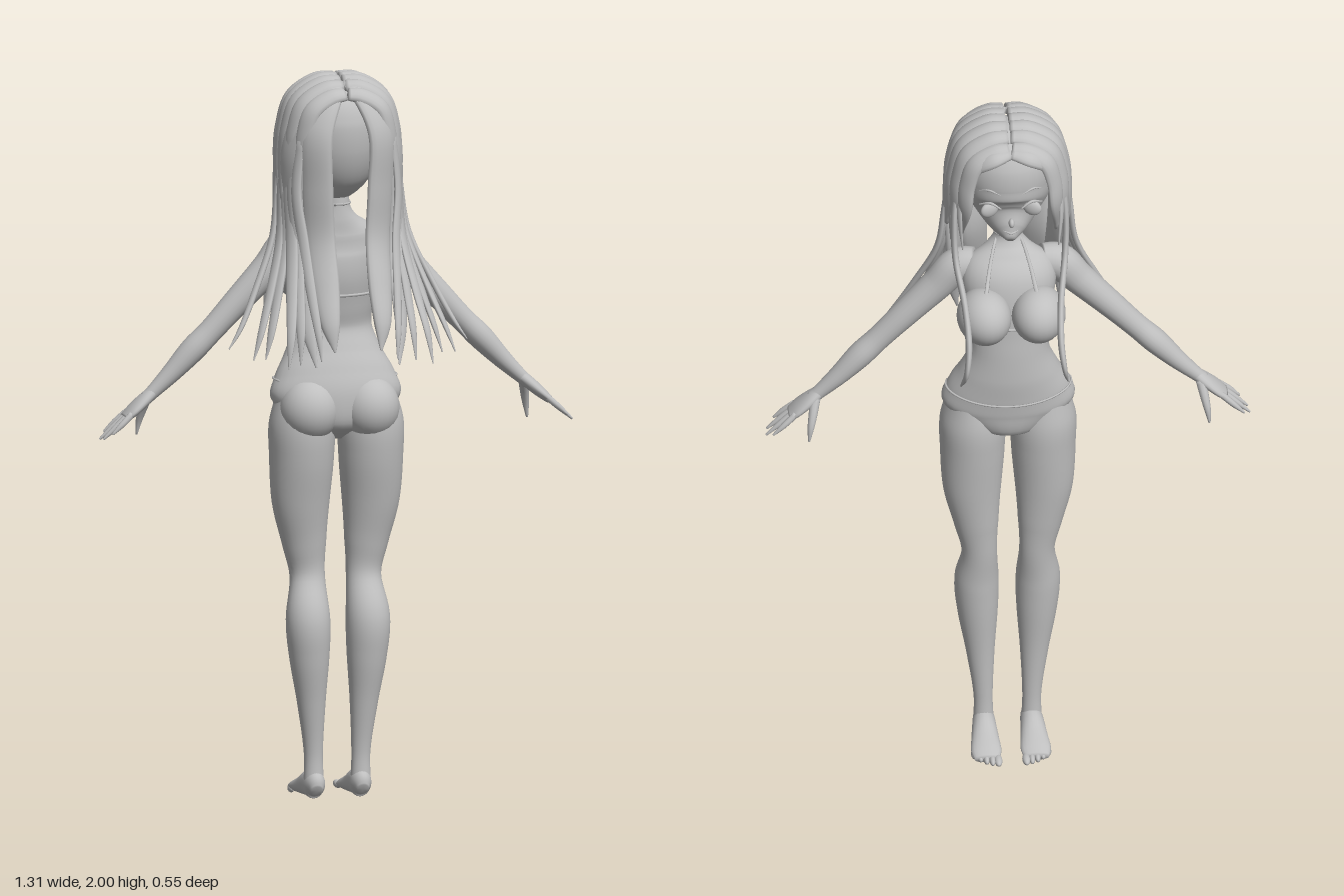
import * as THREE from 'three';

const grey = new THREE.MeshStandardMaterial({ color: 0xbfbfbf });
grey.name = 'plain grey';
const X = new THREE.Vector3(1, 0, 0), Y = new THREE.Vector3(0, 1, 0), Z = new THREE.Vector3(0, 0, 1);

// Smooth sweep through sections [x, y, z, radius along hint, radius across]
function loft(sections, hint, rows = 6, sides = 20) {
  const path = new THREE.CatmullRomCurve3(sections.map(s => new THREE.Vector3(s[0], s[1], s[2])));
  const size = new THREE.CatmullRomCurve3(sections.map(s => new THREE.Vector3(s[3], s[4], 0)), false, 'catmullrom', 0.5);
  const n = (sections.length - 1) * rows, pos = [], idx = [];
  for (let r = -1; r <= n + 1; r++) {
    const t = Math.min(Math.max(r / n, 0), 1), closed = r < 0 || r > n;
    const p = path.getPoint(t), q = size.getPoint(t), T = path.getTangent(t);
    const N = (typeof hint === 'function' ? hint(p) : hint).clone();
    N.addScaledVector(T, -N.dot(T)).normalize();
    const B = new THREE.Vector3().crossVectors(T, N);
    for (let j = 0; j < sides; j++) {
      const a = j / sides * Math.PI * 2, k = closed ? 0 : 1;
      const v = p.clone().addScaledVector(N, k * Math.cos(a) * Math.max(q.x, 0.001))
        .addScaledVector(B, k * Math.sin(a) * Math.max(q.y, 0.001));
      pos.push(v.x, v.y, v.z);
    }
  }
  for (let i = 0; i < n + 2; i++) for (let j = 0; j < sides; j++) {
    const a = i * sides + j, b = i * sides + (j + 1) % sides;
    idx.push(a, b, a + sides, b, b + sides, a + sides);
  }
  const g = new THREE.BufferGeometry();
  g.setAttribute('position', new THREE.Float32BufferAttribute(pos, 3));
  g.setIndex(idx);
  g.computeVertexNormals();
  return g;
}

// Hair lies flat against the head: its normal points away from the head's axis
const outward = p => new THREE.Vector3(p.x, Math.max(p.y - 1.8, 0), p.z);

export function createModel() {
  const model = new THREE.Group();
  model.name = 'figure';
  const add = (name, geometry, parent = model) => {
    const m = new THREE.Mesh(geometry, grey);
    m.name = name;
    parent.add(m);
    return m;
  };
  const ball = (name, x, y, z, rx, ry, rz, parent) => {
    const m = add(name, new THREE.SphereGeometry(1, 28, 20), parent);
    m.position.set(x, y, z);
    m.scale.set(rx, ry, rz);
    return m;
  };
  const band = (name, y, z, a, b, r, dip = 0) => {
    const pts = [];
    for (let i = 0; i < 24; i++) {
      const t = i / 24 * Math.PI * 2;
      pts.push(new THREE.Vector3(Math.cos(t) * b, y - dip * Math.sin(t) ** 2, z + Math.sin(t) * a));
    }
    add(name, new THREE.TubeGeometry(new THREE.CatmullRomCurve3(pts, true), 64, r, 6, true));
  };

  // Torso and neck
  add('torso', loft([
    [0, 0.99, -0.02, 0.03, 0.03], [0, 1.03, -0.02, 0.085, 0.11], [0, 1.1, -0.022, 0.097, 0.178],
    [0, 1.16, -0.035, 0.093, 0.166], [0, 1.22, -0.05, 0.084, 0.135], [0, 1.29, -0.06, 0.073, 0.108],
    [0, 1.36, -0.053, 0.078, 0.112], [0, 1.44, -0.045, 0.085, 0.122], [0, 1.51, -0.04, 0.078, 0.128],
    [0, 1.56, -0.025, 0.057, 0.11], [0, 1.595, -0.015, 0.042, 0.06], [0, 1.63, -0.012, 0.034, 0.036],
    [0, 1.72, -0.02, 0.034, 0.036]], Z, 6, 32));
  band('neckStrap', 1.635, -0.012, 0.036, 0.037, 0.003);
  band('chestBand', 1.385, -0.05, 0.082, 0.116, 0.004);
  band('hipBand', 1.155, -0.034, 0.095, 0.17, 0.003, 0.02);

  // Head with a pointed chin
  add('head', loft([
    [0, 1.662, -0.106, 0.012, 0.012], [0, 1.68, -0.082, 0.045, 0.042], [0, 1.71, -0.045, 0.087, 0.078],
    [0, 1.75, -0.02, 0.115, 0.108], [0, 1.81, -0.006, 0.126, 0.124], [0, 1.88, -0.005, 0.124, 0.126],
    [0, 1.94, -0.003, 0.095, 0.096], [0, 1.975, 0, 0.03, 0.03]], Z, 6, 32));
  ball('nose', 0, 1.733, -0.134, 0.008, 0.013, 0.013);
  add('mouth', loft([[-0.02, 1.699, -0.118, 0.001, 0.001], [0, 1.696, -0.127, 0.004, 0.003],
    [0.02, 1.699, -0.118, 0.001, 0.001]], Z, 5, 8));

  for (const s of [1, -1]) {
    const side = new THREE.Group();
    side.name = s > 0 ? 'leftSide' : 'rightSide';
    model.add(side);
    const part = (name, secs, hint, rows, sides) =>
      add(name, loft(secs.map(([x, ...rest]) => [x * s, ...rest]), hint, rows, sides), side);

    // Face details
    ball('eye', s * 0.058, 1.767, -0.113, 0.026, 0.023, 0.012, side).rotation.y = s * 0.42;
    part('upperLash', [[0.028, 1.778, -0.131, 0.002, 0.002], [0.055, 1.794, -0.124, 0.004, 0.004],
      [0.085, 1.78, -0.104, 0.002, 0.002]], Z, 5, 8);
    part('eyebrow', [[0.03, 1.822, -0.13, 0.001, 0.001], [0.06, 1.832, -0.117, 0.003, 0.003],
      [0.085, 1.822, -0.1, 0.001, 0.001]], Z, 5, 8);
    ball('ear', s * 0.123, 1.765, -0.005, 0.012, 0.034, 0.022, side);

    // Swimsuit cup, strap and seat
    ball('chestCup', s * 0.074, 1.432, -0.128, 0.073, 0.078, 0.086, side).rotation.y = s * 0.2;
    part('shoulderStrap', [[0.07, 1.5, -0.142, 0.003, 0.006], [0.055, 1.56, -0.088, 0.003, 0.005],
      [0.035, 1.615, -0.035, 0.003, 0.004], [0.01, 1.635, 0.026, 0.003, 0.004]], Z, 5, 8);
    ball('seat', s * 0.083, 1.075, 0.018, 0.082, 0.088, 0.084, side);

    // Leg
    part('leg', [
      [0.1, 1.13, -0.022, 0.075, 0.06], [0.096, 1.04, -0.016, 0.093, 0.088], [0.096, 0.95, -0.016, 0.089, 0.088],
      [0.097, 0.82, -0.022, 0.07, 0.079], [0.086, 0.7, -0.027, 0.051, 0.06], [0.078, 0.61, -0.025, 0.042, 0.048],
      [0.083, 0.5, 0.004, 0.06, 0.06], [0.08, 0.4, 0.006, 0.054, 0.055], [0.073, 0.27, 0.001, 0.036, 0.039],
      [0.066, 0.13, -0.005, 0.023, 0.026], [0.065, 0.04, -0.004, 0.026, 0.028]], Z, 6, 28);

    // Foot and toes
    part('foot', [
      [0.064, 0.028, 0.028, 0.016, 0.016], [0.064, 0.04, 0.008, 0.038, 0.028], [0.065, 0.042, -0.025, 0.039, 0.032],
      [0.066, 0.03, -0.07, 0.028, 0.037], [0.067, 0.019, -0.12, 0.018, 0.041], [0.067, 0.012, -0.152, 0.011, 0.034]], Y);
    for (let i = 0; i < 5; i++)
      ball('toe', s * (0.038 + i * 0.0155), 0.011, -0.158 + i * i * 0.0022, i ? 0.0085 : 0.011, 0.011, 0.026 - i * 0.002, side);

    // Arm
    part('arm', [
      [0.085, 1.535, -0.018, 0.04, 0.045], [0.135, 1.525, -0.012, 0.046, 0.05], [0.19, 1.465, -0.008, 0.043, 0.044],
      [0.28, 1.372, -0.008, 0.038, 0.037], [0.35, 1.298, -0.008, 0.034, 0.033], [0.4, 1.248, -0.01, 0.036, 0.034],
      [0.46, 1.185, -0.012, 0.028, 0.026], [0.51, 1.137, -0.012, 0.021, 0.019], [0.53, 1.119, -0.012, 0.022, 0.018]], Z);

    // Hand
    part('palm', [[0.508, 1.139, -0.012, 0.02, 0.016], [0.535, 1.116, -0.012, 0.032, 0.017],
      [0.565, 1.09, -0.01, 0.039, 0.015], [0.588, 1.07, -0.009, 0.036, 0.011]], Z);
    [0.053, 0.07, 0.066, 0.046].forEach((l, i) => {
      const z = -0.037 + i * 0.0185, splay = (i - 1.5) * 0.005;
      part('finger', [[0.575, 1.083, z, 0.009, 0.009], [0.582 + l * 0.5, 1.077 - l * 0.45, z + splay, 0.008, 0.008],
        [0.585 + l, 1.073 - l * 0.88, z + splay * 1.5, 0.003, 0.003]], Z, 5, 10);
    });
    part('thumb', [[0.522, 1.122, -0.025, 0.014, 0.014], [0.53, 1.085, -0.046, 0.012, 0.012],
      [0.537, 1.05, -0.06, 0.009, 0.009], [0.542, 1.012, -0.066, 0.003, 0.003]], X, 5, 10);

    // Crown locks running from the parting over the side of the head
    for (let i = 0; i < 7; i++) {
      const z = -0.105 + i * 0.035, k = Math.sqrt(1 - (z / 0.16) ** 2), top = 1.855 + 0.128 * k;
      part('crownLock', [
        [0.004, top, z, 0.012, 0.021], [0.055 * k, top - 0.006, z * 1.03, 0.016, 0.026],
        [0.125 * k, 1.855 + 0.077 * k, z * 1.06, 0.015, 0.028], [0.155 * k, 1.85, z * 1.05, 0.013, 0.027],
        [0.162 * k + 0.002, 1.77, z, 0.011, 0.025], [0.16 * k + 0.008, 1.66, z * 0.7 + 0.025, 0.006, 0.01]],
      outward, 6, 14);
    }

    // Fringe swept from the parting to the temple
    part('fringe', [[0.002, 1.945, -0.118, 0.01, 0.014], [0.05, 1.935, -0.128, 0.012, 0.022],
      [0.105, 1.895, -0.1, 0.012, 0.024], [0.143, 1.83, -0.06, 0.01, 0.022], [0.155, 1.73, -0.045, 0.008, 0.016],
      [0.155, 1.63, -0.04, 0.003, 0.004]], outward, 6, 14);

    // Long front locks over the chest
    part('frontLock', [[0.135, 1.87, -0.065, 0.008, 0.016], [0.15, 1.74, -0.075, 0.009, 0.018],
      [0.148, 1.6, -0.095, 0.009, 0.017], [0.13, 1.5, -0.18, 0.009, 0.016], [0.125, 1.41, -0.248, 0.009, 0.017],
      [0.133, 1.34, -0.268, 0.007, 0.013], [0.145, 1.275, -0.225, 0.002, 0.003]], X, 6, 12);
    part('templeStrand', [[0.13, 1.86, -0.08, 0.005, 0.01], [0.138, 1.75, -0.1, 0.005, 0.01],
      [0.13, 1.64, -0.11, 0.002, 0.002]], outward, 6, 8);

    // Broad back locks, parted in the middle
    part('innerBackLock', [[0.012, 1.975, 0.05, 0.012, 0.02], [0.045, 1.945, 0.098, 0.015, 0.036],
      [0.087, 1.85, 0.13, 0.018, 0.045], [0.087, 1.7, 0.128, 0.017, 0.046], [0.08, 1.56, 0.13, 0.016, 0.044],
      [0.075, 1.44, 0.175, 0.017, 0.038], [0.072, 1.34, 0.218, 0.014, 0.026], [0.064, 1.27, 0.238, 0.002, 0.003]],
    outward, 6, 16);
    part('outerBackLock', [[0.03, 1.965, 0.05, 0.012, 0.024], [0.11, 1.9, 0.075, 0.016, 0.042],
      [0.14, 1.8, 0.075, 0.017, 0.048], [0.143, 1.66, 0.07, 0.015, 0.046], [0.137, 1.53, 0.09, 0.013, 0.041],
      [0.133, 1.42, 0.145, 0.012, 0.034], [0.128, 1.32, 0.2, 0.009, 0.02], [0.115, 1.23, 0.235, 0.002, 0.003]],
    outward, 6, 16);

    // Thin strands flaring out at the ends: tip x, y, z and half-width
    [[0.33, 1.27, 0.12, 0.011], [0.28, 1.25, 0.195, 0.016], [0.245, 1.25, 0.19, 0.017], [0.2, 1.235, 0.27, 0.018],
      [0.16, 1.24, 0.24, 0.017], [0.105, 1.25, 0.255, 0.014]].forEach(([x, y, z, w], i) => {
      const z0 = 0.01 + i * 0.02, x0 = 0.163 - i * 0.006;
      part('looseStrand', [[x0 - 0.005, 1.83, z0, 0.006, w], [x0 + 0.008, 1.69, z0, 0.008, w * 1.2],
        [x0 + (x - x0) * 0.15, 1.56, z0 + (z - z0) * 0.2, 0.008, w * 1.2],
        [x0 + (x - x0) * 0.5, 1.42, z0 + (z - z0) * 0.6, 0.008, w],
        [x0 + (x - x0) * 0.8, 1.32, z0 + (z - z0) * 0.9, 0.006, w * 0.7], [x, y, z, 0.0015, 0.002]], outward, 6, 10);
    });
  }
  return model;
}
